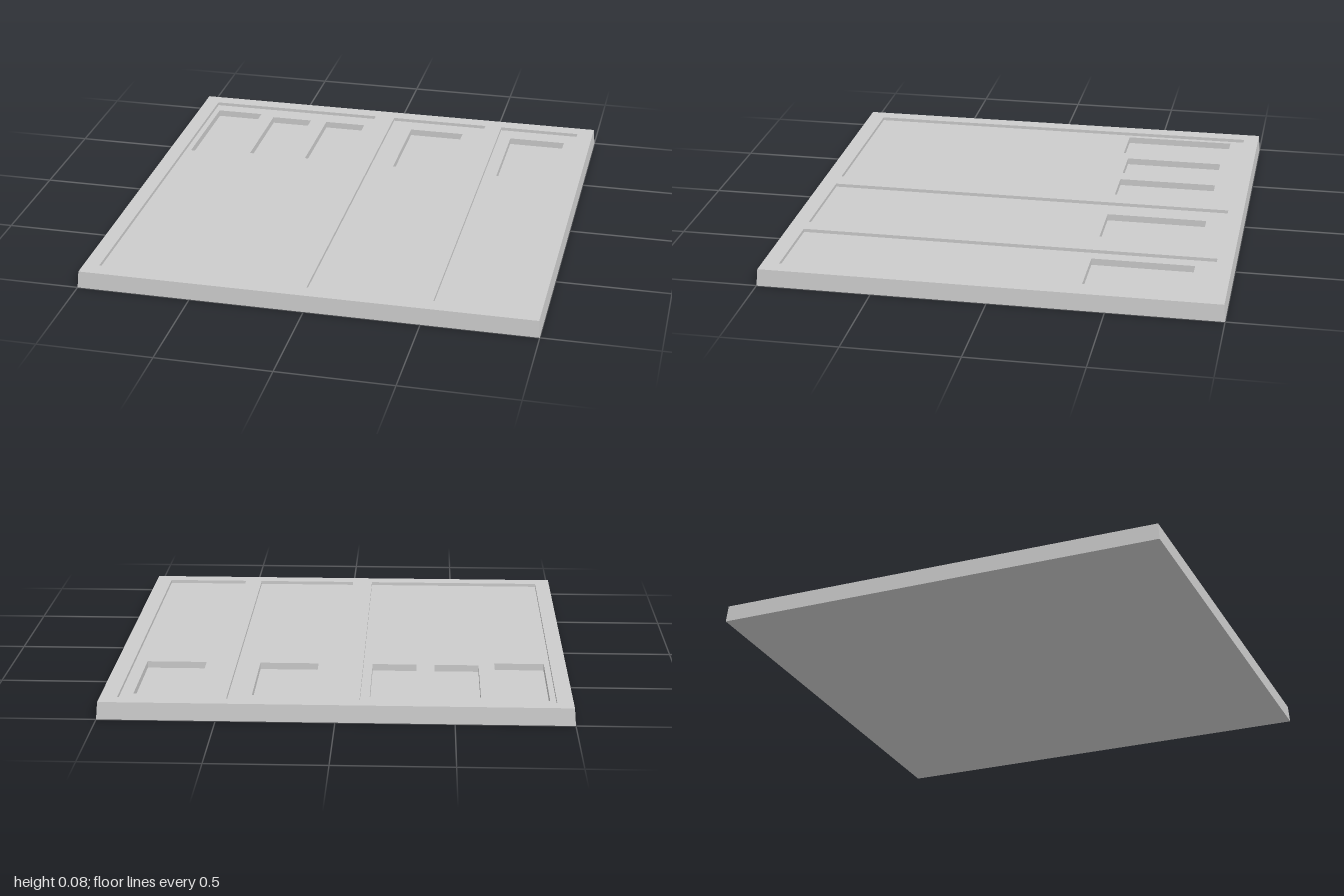
import * as THREE from 'three';

const TOP = 0.075, PANEL = 0.06, POCKET = 0.03, INSET = 0.994;

// Rectangles as [x0, x1, z0, z1]; each recessed panel owns its deeper pockets
const panels = [
  { rect: [-0.925, -0.1, -0.925, 0.92], pockets: [
    [-0.9, -0.68, -0.86, -0.355],
    [-0.61, -0.415, -0.835, -0.385],
    [-0.335, -0.14, -0.835, -0.385],
  ] },
  { rect: [-0.005, 0.46, -0.925, 0.92], pockets: [[0.1, 0.36, -0.835, -0.385]] },
  { rect: [0.54, 0.92, -0.925, 0.92], pockets: [[0.6, 0.865, -0.835, -0.385]] },
];

export function createModel() {
  const model = new THREE.Group();
  const material = new THREE.MeshStandardMaterial({ color: 0xcccccc, flatShading: true });

  const add = (name, geometry, parent = model) => {
    const mesh = new THREE.Mesh(geometry, material);
    mesh.name = name;
    parent.add(mesh);
    return mesh;
  };

  const outline = ([x0, x1, z0, z1], Type = THREE.Shape) => new Type([
    new THREE.Vector2(x0, -z1), new THREE.Vector2(x1, -z1),
    new THREE.Vector2(x1, -z0), new THREE.Vector2(x0, -z0),
  ]);

  // Upward-facing flat surface with rectangular openings
  const face = (rect, y, holes = []) => {
    const shape = outline(rect);
    shape.holes = holes.map((h) => outline(h, THREE.Path));
    return new THREE.ShapeGeometry(shape).rotateX(-Math.PI / 2).translate(0, y, 0);
  };

  // Open four-sided ring of walls one unit wide
  const ring = (topScale = 1) =>
    new THREE.CylinderGeometry(Math.SQRT1_2 * topScale, Math.SQRT1_2, 1, 4, 1, true)
      .rotateY(Math.PI / 4).toNonIndexed();

  // Mirrored ring, so that its walls face into the recess
  const recessWalls = ([x0, x1, z0, z1], low, high) => {
    const g = ring().scale(x0 - x1, high - low, z1 - z0)
      .translate((x0 + x1) / 2, (low + high) / 2, (z0 + z1) / 2);
    g.computeVertexNormals();
    return g;
  };

  // Slab: slightly tapered sides, underside and framed top
  const sides = ring(INSET).scale(2, TOP, 2).translate(0, TOP / 2, 0);
  sides.computeVertexNormals();
  add('slabSides', sides);
  add('slabUnderside', new THREE.PlaneGeometry(2, 2).rotateX(Math.PI / 2));
  add('slabFrame', face([-INSET, INSET, -INSET, INSET], TOP, panels.map((p) => p.rect)));

  // Shallow panels, each with its pockets
  for (const { rect, pockets } of panels) {
    const panel = new THREE.Group();
    panel.name = 'recessedPanel';
    model.add(panel);
    add('panelWalls', recessWalls(rect, PANEL, TOP), panel);
    add('panelFloor', face(rect, PANEL, pockets), panel);
    for (const pocket of pockets) {
      add('pocketWalls', recessWalls(pocket, POCKET, PANEL), panel);
      add('pocketFloor', face(pocket, POCKET), panel);
    }
  }
  return model;
}
